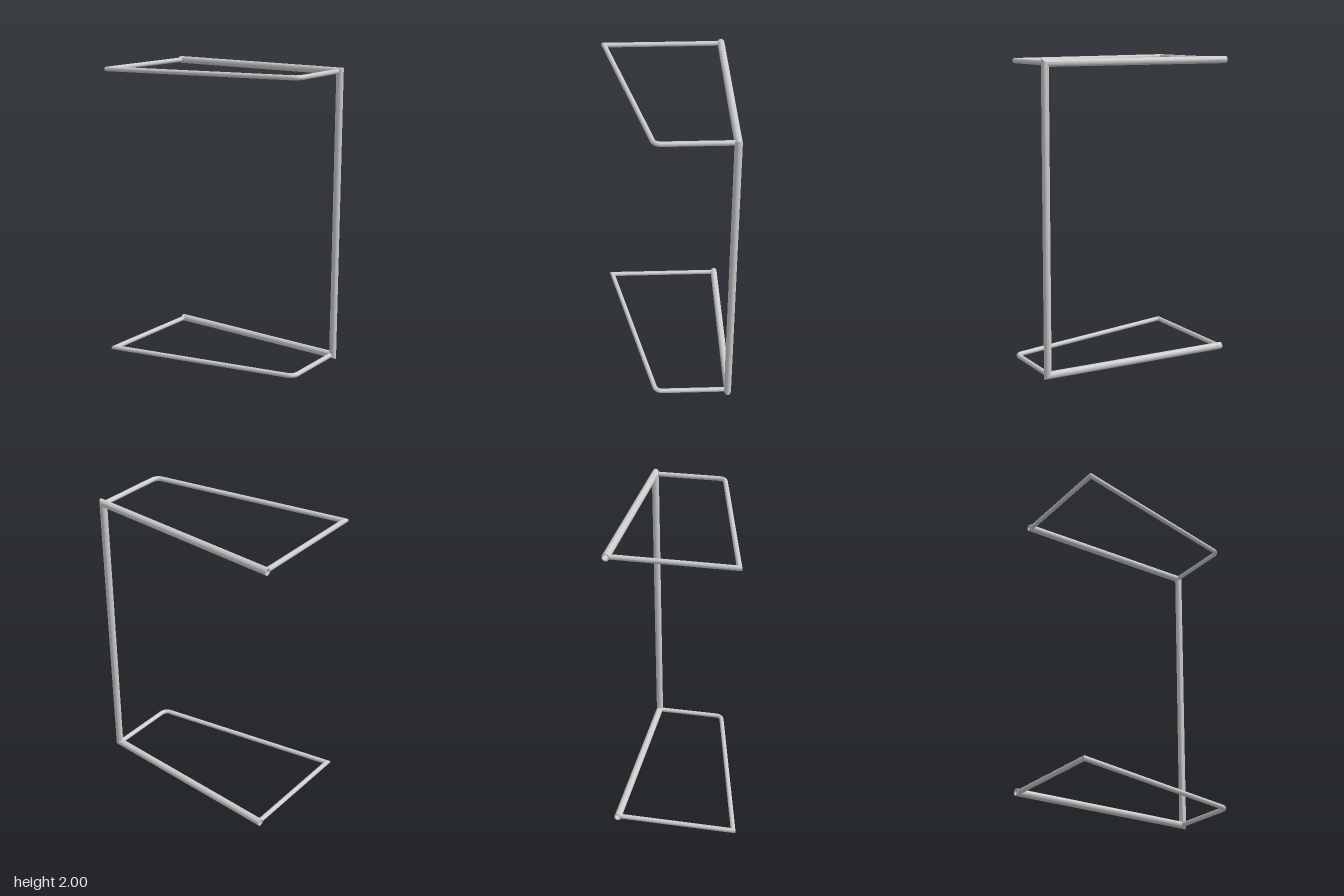
import * as THREE from 'three';
import { toCreasedNormals } from 'three/addons/utils/BufferGeometryUtils.js';

const V = (x, y, z) => new THREE.Vector3(x, y, z);
const SIDES = 24;

// Sweeps a round pipe along a planar path with mitred corners.
// side is the normal of the path's plane; a wall > 0 makes the pipe hollow.
function pipe(path, side, radius, wall = 0) {
  const dirs = path.slice(1).map((p, i) => p.clone().sub(path[i]).normalize());
  const ring = (i, r) => {
    const d = dirs[Math.max(0, i - 1)];
    const n = d.clone().add(dirs[Math.min(i, dirs.length - 1)]).normalize();
    const across = d.clone().cross(side);
    return Array.from({ length: SIDES }, (_, j) => {
      const a = (j / SIDES) * Math.PI * 2;
      const w = side.clone().multiplyScalar(r * Math.cos(a)).addScaledVector(across, r * Math.sin(a));
      return w.addScaledVector(d, -w.dot(n) / d.dot(n)).add(path[i]);
    });
  };

  // outer skin forward, then the bore backward and around to the start
  const rings = path.map((_, i) => ring(i, radius));
  if (wall) {
    rings.push(...path.map((_, i) => ring(i, radius - wall)).reverse(), ring(0, radius));
  }

  const index = [];
  for (let i = 0; i < rings.length - 1; i++) {
    for (let j = 0; j < SIDES; j++) {
      const a = i * SIDES + j, b = i * SIDES + ((j + 1) % SIDES);
      index.push(a, b, a + SIDES, b, b + SIDES, a + SIDES);
    }
  }
  const geometry = new THREE.BufferGeometry().setFromPoints(rings.flat());
  geometry.setIndex(index);
  return toCreasedNormals(geometry, 0.5);
}

// Points of an arc that rounds the corner between a and b.
function roundCorner(a, corner, b, radius, steps = 8) {
  const u = a.clone().sub(corner).normalize();
  const v = b.clone().sub(corner).normalize();
  const half = u.angleTo(v) / 2;
  const bisector = u.clone().add(v).normalize();
  const centre = corner.clone().addScaledVector(bisector, radius / Math.sin(half));
  const tangent = u.clone().sub(v).normalize();
  const sweep = Math.PI / 2 - half;
  return Array.from({ length: steps + 1 }, (_, i) => {
    const t = sweep * (1 - (2 * i) / steps);
    return centre.clone()
      .addScaledVector(bisector, -radius * Math.cos(t))
      .addScaledVector(tangent, radius * Math.sin(t));
  });
}

export function createModel() {
  const model = new THREE.Group();
  const material = new THREE.MeshStandardMaterial({ color: 0xcccccc, side: THREE.DoubleSide });
  const add = (name, geometry) => {
    const mesh = new THREE.Mesh(geometry, material);
    mesh.name = name;
    model.add(mesh);
  };

  const low = 0.024, high = 1.976, postX = 0.39;

  // thick C-shaped frame: top arm, upright post, bottom arm
  add('mainFrame', pipe([
    V(postX, high, -0.673), V(postX, high, 0.646),
    V(postX, low, 0.646), V(postX, low, -0.673),
  ], V(1, 0, 0), 0.024, 0.006));

  // thin side loop on each arm: back bar, slanted bar, rounded bend, front bar
  for (const [name, y] of [['lowerLoop', low], ['upperLoop', high]]) {
    const inX = 0.373;
    const backCorner = V(-0.397, y, -0.657);
    const frontEnd = V(inX, y, 0.638);
    const bend = roundCorner(backCorner, V(-0.095, y, 0.638), frontEnd, 0.052);
    add(name, pipe([V(inX, y, -0.657), backCorner, ...bend, frontEnd], V(0, 1, 0), 0.016));
  }
  return model;
}
